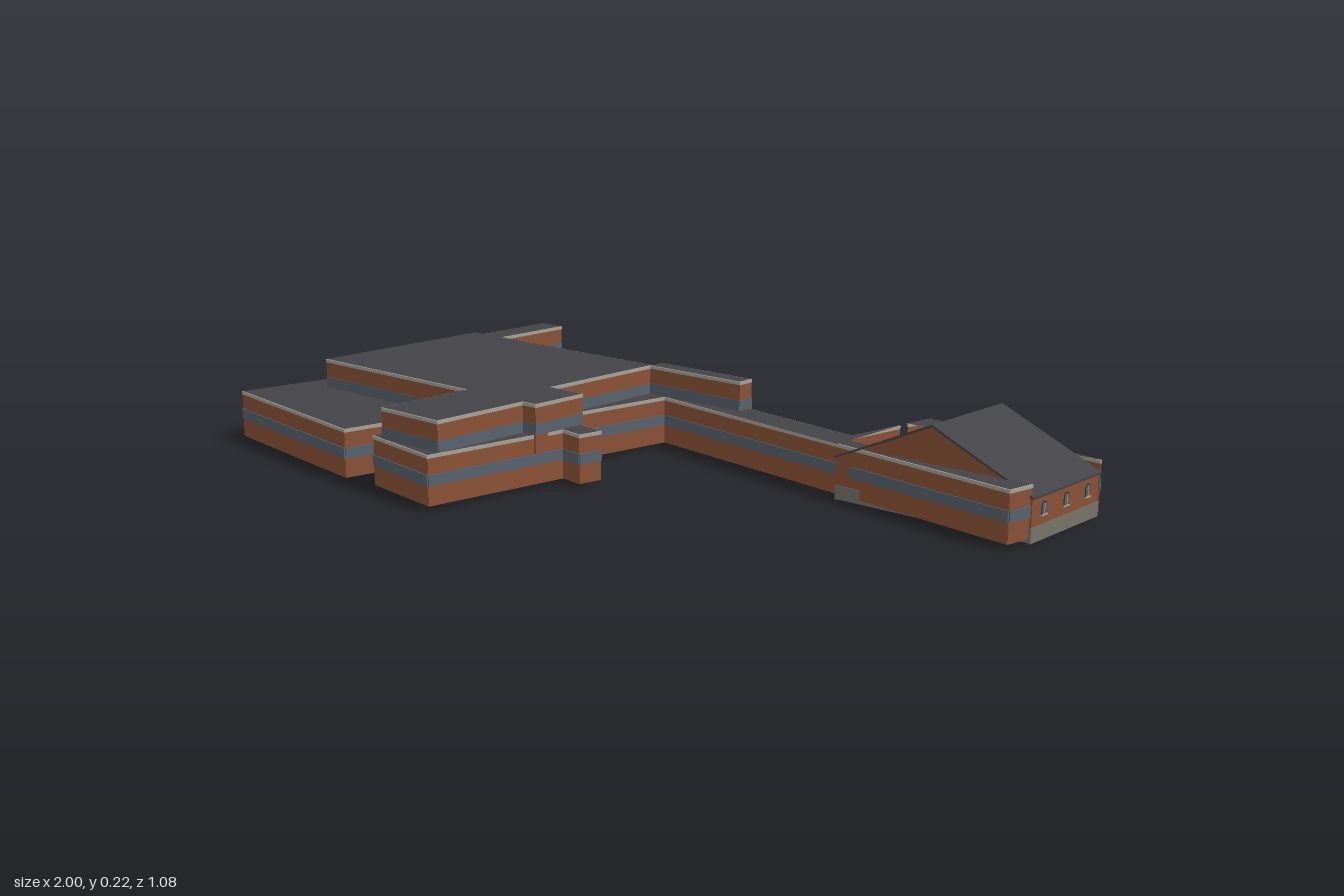
import * as THREE from 'three';

const mat = (name, color, side = THREE.FrontSide) => {
  const m = new THREE.MeshStandardMaterial({ color, side });
  m.name = name;
  return m;
};

export function createModel() {
  const model = new THREE.Group();
  model.name = 'brickBuilding';

  const brick = mat('brick', 0x8b5136, THREE.DoubleSide);
  const glass = mat('glass', 0x56626e);
  const roofing = mat('roofing', 0x444348, THREE.DoubleSide);
  const trim = mat('paleTrim', 0xa5a298);
  const stone = mat('stoneBase', 0x77736a);
  const dark = mat('darkFrame', 0x35332f);

  const add = (parent, name, geo, material, x = 0, y = 0, z = 0) => {
    const m = new THREE.Mesh(geo, material);
    m.name = name;
    m.position.set(x, y, z);
    parent.add(m);
    return m;
  };

  // Horizontal flat roof from an [x, z] outline
  const flatRoof = (parent, name, pts, y, hole) => {
    const v = (p) => new THREE.Vector2(p[0], -p[1]);
    const shape = new THREE.Shape(pts.map(v));
    if (hole) shape.holes.push(new THREE.Path(hole.map(v)));
    add(parent, name, new THREE.ShapeGeometry(shape).rotateX(-Math.PI / 2), roofing, 0, y, 0);
  };

  // One storey: brick walls, a ribbon window and a pale coping along each edge
  const storey = (name, pts, y0, y1, stripeY, stripeOffset, skip = [], hole) => {
    const group = new THREE.Group();
    group.name = name;
    pts.forEach(([ax, az], i) => {
      if (skip.includes(i)) return;
      const [bx, bz] = pts[(i + 1) % pts.length];
      const len = Math.hypot(bx - ax, bz - az);
      const wall = new THREE.Group();
      wall.name = 'wall';
      wall.position.set((ax + bx) / 2, 0, (az + bz) / 2);
      wall.rotation.y = -Math.atan2(bz - az, bx - ax);
      const band = (n, lo, hi, t, m, dz = 0) =>
        add(wall, n, new THREE.BoxGeometry(len + t * 0.5, hi - lo, t), m, 0, (lo + hi) / 2, dz);
      band('brickwork', y0, y1 - 0.008, 0.003, brick);
      band('ribbonWindow', stripeY, stripeY + 0.026, 0.005, glass, stripeOffset);
      band('coping', y1 - 0.008, y1, 0.005, trim);
      group.add(wall);
    });
    flatRoof(group, 'flatRoof', pts, y1 + 0.0006, hole);
    model.add(group);
  };

  // Ground floor, turned slightly from the upper floor, with a long link corridor
  const ground = [
    [-1, 0.42], [-0.912, -0.12], [-0.904, -0.12], [-0.84, -0.54], [-0.742, -0.525],
    [-0.77, -0.33], [-0.487, -0.286], [-0.48, -0.33], [-0.227, -0.292], [-0.217, -0.365],
    [-0.147, -0.352], [-0.143, -0.362], [0.457, -0.268], [0.48, -0.43], [0.48, -0.18],
    [0.988, -0.18], [0.977, -0.11], [-0.145, -0.28], [-0.197, 0.07], [-0.01, 0.1],
    [-0.02, 0.16], [-0.085, 0.15], [-0.135, 0.53], [-0.368, 0.495], [-0.332, 0.25],
    [-0.43, 0.235], [-0.47, 0.502],
  ];
  const stairWell = [[-0.87, 0.225], [-0.87, -0.275], [-0.21, -0.275], [-0.21, 0.06]];
  stairWell.push([-0.21, 0.225]);
  storey('groundFloor', ground, 0.01, 0.13, 0.058, -0.002, [13, 14], stairWell);

  // Narrow wedge behind the hall
  storey('rearWedge', [[0.484, -0.46], [0.495, -0.54], [0.995, -0.463]], 0.01, 0.13, 0.058, -0.002, [2]);

  // Upper floor
  const upper = [
    [-0.88, 0.235], [-0.88, -0.29], [-0.845, -0.29], [-0.845, -0.526], [-0.77, -0.526],
    [-0.77, -0.29], [-0.195, -0.29], [-0.195, -0.33], [0.1, -0.33], [0.1, -0.285],
    [-0.2, -0.285], [-0.2, 0.08], [-0.09, 0.08], [-0.09, 0.235], [-0.133, 0.235],
    [-0.133, 0.5], [-0.328, 0.5], [-0.328, 0.235],
  ];
  storey('upperFloor', upper, 0.085, 0.205, 0.132, 0);

  // Gabled hall at the end of the corridor
  const hall = new THREE.Group();
  hall.name = 'gabledHall';
  model.add(hall);
  const L = 0.483, R = 0.993, C = 0.738, Z0 = -0.46, Z1 = -0.175;
  const EAVE = 0.098, RIDGE = 0.214, MID = (Z0 + Z1) / 2;

  const gable = new THREE.ShapeGeometry(new THREE.Shape([
    [L, 0.003], [R, 0.003], [R, EAVE], [C, RIDGE], [L, EAVE],
  ].map((p) => new THREE.Vector2(...p))));
  for (const z of [Z0, Z1]) {
    add(hall, 'gableWall', gable, brick, 0, 0, z);
    add(hall, 'stonePlinth', new THREE.BoxGeometry(R - L, 0.033, 0.004), stone, C, 0.0175, z);
  }
  for (const x of [L, R]) {
    add(hall, 'sideWall', new THREE.BoxGeometry(0.002, EAVE - 0.003, Z1 - Z0), brick, x, (EAVE + 0.003) / 2, MID);
    add(hall, 'stonePlinth', new THREE.BoxGeometry(0.005, 0.035, Z1 - Z0 + 0.004), stone, x, 0.0175, MID);
  }

  // Pitched roof as a thin folded sheet
  const fold = new THREE.Shape([
    [L - 0.005, EAVE], [C, RIDGE], [R + 0.005, EAVE],
    [R + 0.005, EAVE + 0.005], [C, RIDGE + 0.006], [L - 0.005, EAVE + 0.005],
  ].map((p) => new THREE.Vector2(...p)));
  const foldGeo = new THREE.ExtrudeGeometry(fold, { depth: Z1 - Z0 + 0.008, bevelEnabled: false });
  add(hall, 'pitchedRoof', foldGeo, roofing, 0, 0, Z0 - 0.004);

  // Arched plate centred on its wall
  const arch = (w, h, t) => {
    const s = new THREE.Shape();
    s.moveTo(-w / 2, 0);
    s.lineTo(w / 2, 0);
    s.lineTo(w / 2, h - w / 2);
    s.absarc(0, h - w / 2, w / 2, 0, Math.PI, false);
    s.closePath();
    return new THREE.ExtrudeGeometry(s, { depth: t, bevelEnabled: false, curveSegments: 8 }).translate(0, 0, -t / 2);
  };
  const archedWindow = (x, z, turn) => {
    const g = new THREE.Group();
    g.name = 'archedWindow';
    g.position.set(x, 0.055, z);
    g.rotation.y = turn;
    add(g, 'frame', arch(0.022, 0.031, 0.004), dark);
    add(g, 'pane', arch(0.017, 0.026, 0.006), glass, 0, 0.002, 0);
    add(g, 'sill', new THREE.BoxGeometry(0.026, 0.003, 0.008), trim);
    add(g, 'bar', new THREE.BoxGeometry(0.002, 0.024, 0.007), trim, 0, 0.014, 0);
    hall.add(g);
  };
  for (const z of [-0.225, -0.319, -0.412]) {
    archedWindow(L, z, Math.PI / 2);
    archedWindow(R, z, Math.PI / 2);
  }
  for (const dx of [-0.15, 0.15]) archedWindow(C + dx, Z1, 0);

  // Hall doorway
  add(hall, 'doorFrame', arch(0.04, 0.07, 0.006), dark, C, 0.01, Z1);
  add(hall, 'door', arch(0.03, 0.06, 0.008), glass, C, 0.012, Z1);

  return model;
}
